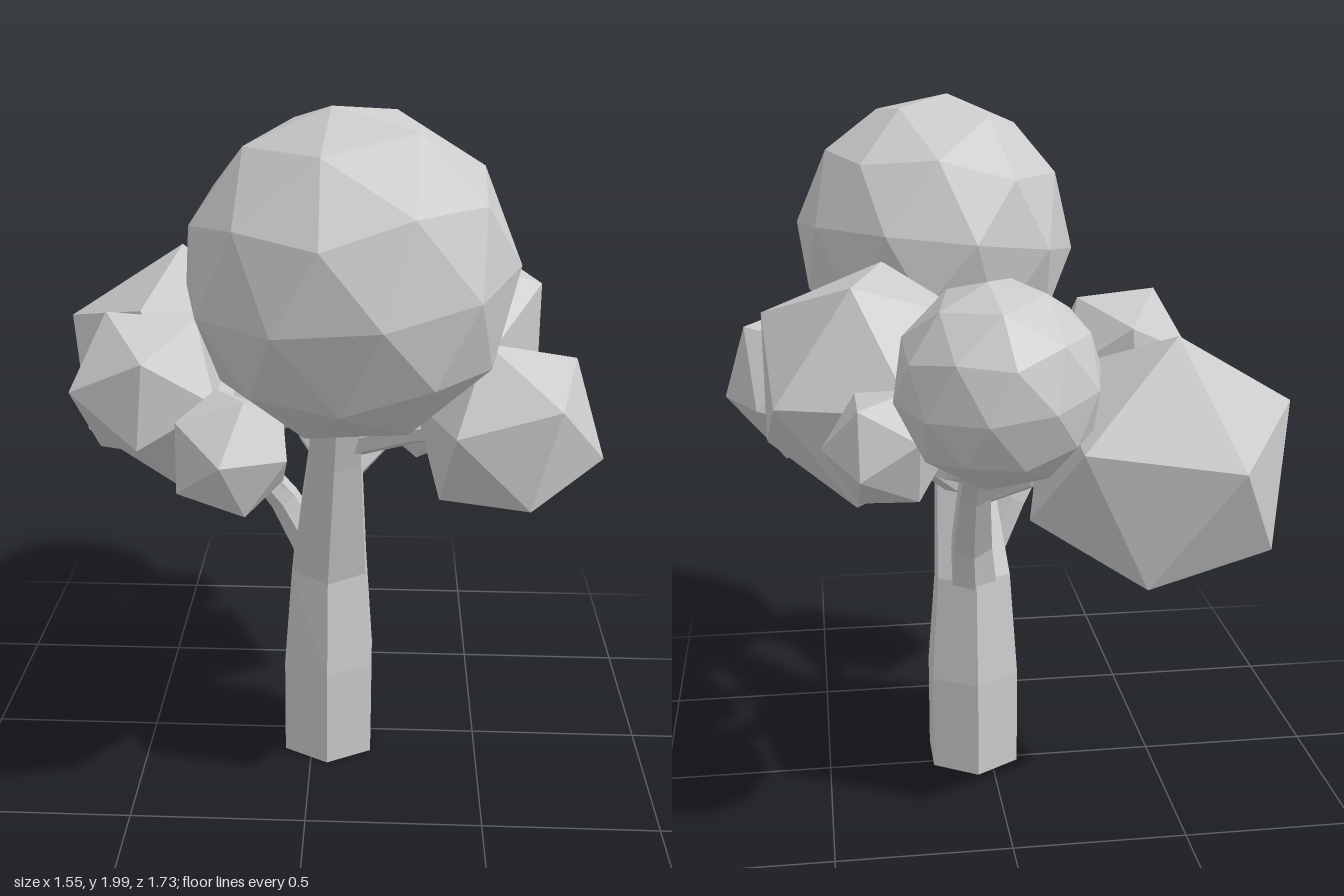
import * as THREE from 'three';

const material = new THREE.MeshStandardMaterial({ color: 0xcccccc, flatShading: true });
const V = (a) => new THREE.Vector3(...a);

function addMesh(group, name, geometry) {
  const mesh = new THREE.Mesh(geometry, material);
  mesh.name = name;
  group.add(mesh);
  return mesh;
}

// Rotation frame whose first axis is a and whose second lies toward b
function frame(a, b) {
  const x = a.clone().normalize();
  const y = b.clone().addScaledVector(x, -b.dot(x)).normalize();
  return new THREE.Matrix4().makeBasis(x, y, x.clone().cross(y));
}

// Icosahedral leaf clump, turned so two neighbouring corners point along a and b
function foliage(group, name, centre, radius, detail, a, b) {
  const t = (1 + Math.sqrt(5)) / 2;
  const mesh = addMesh(group, name, new THREE.IcosahedronGeometry(radius, detail));
  const base = frame(V([1, t, 0]), V([-1, t, 0])).transpose();
  mesh.quaternion.setFromRotationMatrix(frame(V(a), V(b)).multiply(base));
  mesh.position.set(...centre);
}

// Tapered six-sided limb through [x, y, z, radius] stations, capped at both ends
function limb(group, name, stations, sides = 6) {
  const points = stations.map((s) => V(s.slice(0, 3)));
  const n = points.length;
  const along = points[n - 1].clone().sub(points[0]).normalize();
  const ref = Math.abs(along.x) > 0.7 ? V([0, 0, 1]) : V([1, 0, 0]);
  const positions = [];
  const index = [];
  points.forEach((p, i) => {
    const tangent = i === 0
      ? points[1].clone().sub(p)
      : points[Math.min(i + 1, n - 1)].clone().sub(points[i - 1]);
    tangent.normalize();
    const u = ref.clone().addScaledVector(tangent, -ref.dot(tangent)).normalize();
    const v = tangent.clone().cross(u);
    for (let k = 0; k < sides; k++) {
      const angle = ((k + 0.5) / sides) * Math.PI * 2;
      const q = p.clone()
        .addScaledVector(u, stations[i][3] * Math.cos(angle))
        .addScaledVector(v, stations[i][3] * Math.sin(angle));
      positions.push(q.x, q.y, q.z);
    }
  });
  for (let i = 0; i < n - 1; i++) {
    for (let k = 0; k < sides; k++) {
      const a = i * sides + k;
      const b = i * sides + ((k + 1) % sides);
      index.push(a, b, a + sides, b, b + sides, a + sides);
    }
  }
  const top = (n - 1) * sides;
  for (let k = 1; k < sides - 1; k++) {
    index.push(0, k + 1, k, top, top + k, top + k + 1);
  }
  const geometry = new THREE.BufferGeometry();
  geometry.setAttribute('position', new THREE.Float32BufferAttribute(positions, 3));
  geometry.setIndex(index);
  const flat = geometry.toNonIndexed();
  flat.computeVertexNormals();
  addMesh(group, name, flat);
}

export function createModel() {
  const tree = new THREE.Group();
  tree.name = 'tree';

  // Trunk, leaning forward into the crown
  limb(tree, 'trunk', [
    [0.05, 0, 0.05, 0.15], [0.05, 0.3, 0.05, 0.15], [0.05, 0.61, 0.055, 0.125],
    [0.07, 1.0, 0.19, 0.085], [0.09, 1.4, 0.33, 0.07],
  ]);

  // Main limbs
  limb(tree, 'backLimb', [
    [0.05, 0.58, 0.02, 0.08], [0.06, 0.75, -0.04, 0.065],
    [0.07, 0.96, -0.19, 0.05], [0.07, 1.3, -0.5, 0.04],
  ]);
  limb(tree, 'rightLimb', [
    [0.02, 0.64, 0.09, 0.06], [-0.08, 0.83, 0.11, 0.045],
    [-0.18, 0.98, 0.16, 0.036], [-0.38, 1.17, 0.25, 0.026],
  ]);

  // Thin branches
  limb(tree, 'frontRightBranch', [
    [-0.13, 0.9, 0.13, 0.035], [-0.16, 0.98, 0.25, 0.03], [-0.19, 1.08, 0.42, 0.022],
  ]);
  limb(tree, 'frontLeftBranch', [
    [0.08, 1.03, 0.2, 0.045], [0.28, 1.1, 0.28, 0.035], [0.5, 1.15, 0.38, 0.025],
  ]);
  limb(tree, 'leftBranch', [
    [0.07, 0.88, 0.1, 0.045], [0.2, 0.99, 0.03, 0.035], [0.34, 1.2, -0.06, 0.028],
  ]);
  limb(tree, 'backRightBranch', [
    [0.06, 0.94, -0.16, 0.035], [-0.08, 1.02, -0.26, 0.028], [-0.35, 1.08, -0.33, 0.022],
  ]);
  limb(tree, 'backLeftBranch', [
    [0.07, 1.04, -0.28, 0.03], [0.18, 1.1, -0.39, 0.025], [0.32, 1.2, -0.5, 0.02],
  ]);
  limb(tree, 'twig', [
    [0.05, 0.93, 0.1, 0.03], [-0.02, 1.0, 0.03, 0.025], [-0.05, 1.05, -0.01, 0.02],
  ]);

  // Rounder leaf clumps
  foliage(tree, 'crownFoliage', [0.115, 1.575, 0.455], 0.425, 1, [-0.1, 0.9, 0.1], [0.7, 0.5, 0.4]);
  foliage(tree, 'backFoliage', [0.06, 1.39, -0.605], 0.262, 1, [0.1, 0.9, -0.1], [0.6, 0.3, 0.6]);

  // Coarse leaf clumps
  foliage(tree, 'backRightFoliage', [-0.42, 1.08, -0.333], 0.389, 0, [-0.012, 0.374, -0.107], [-0.137, 0.075, -0.354]);
  foliage(tree, 'leftFoliage', [0.35, 1.26, -0.083], 0.357, 0, [0.05, 0.3, -0.178], [-0.05, 0.3, 0.178]);
  foliage(tree, 'frontLeftFoliage', [0.53, 1.15, 0.388], 0.259, 0, [0.066, -0.246, -0.048], [0.235, -0.056, 0.04]);
  foliage(tree, 'rightFoliage', [-0.438, 1.223, 0.274], 0.228, 0, [-0.1, 0.2, 0.01], [0.14, 0.175, 0]);
  foliage(tree, 'frontRightFoliage', [-0.195, 1.1, 0.465], 0.178, 0, [-0.01, 0.02, 0.178], [0.16, 0.01, 0.08]);
  foliage(tree, 'backLeftFoliage', [0.33, 1.21, -0.515], 0.165, 0, [0.163, 0, 0], [0.07, 0.14, -0.1]);

  return tree;
}
